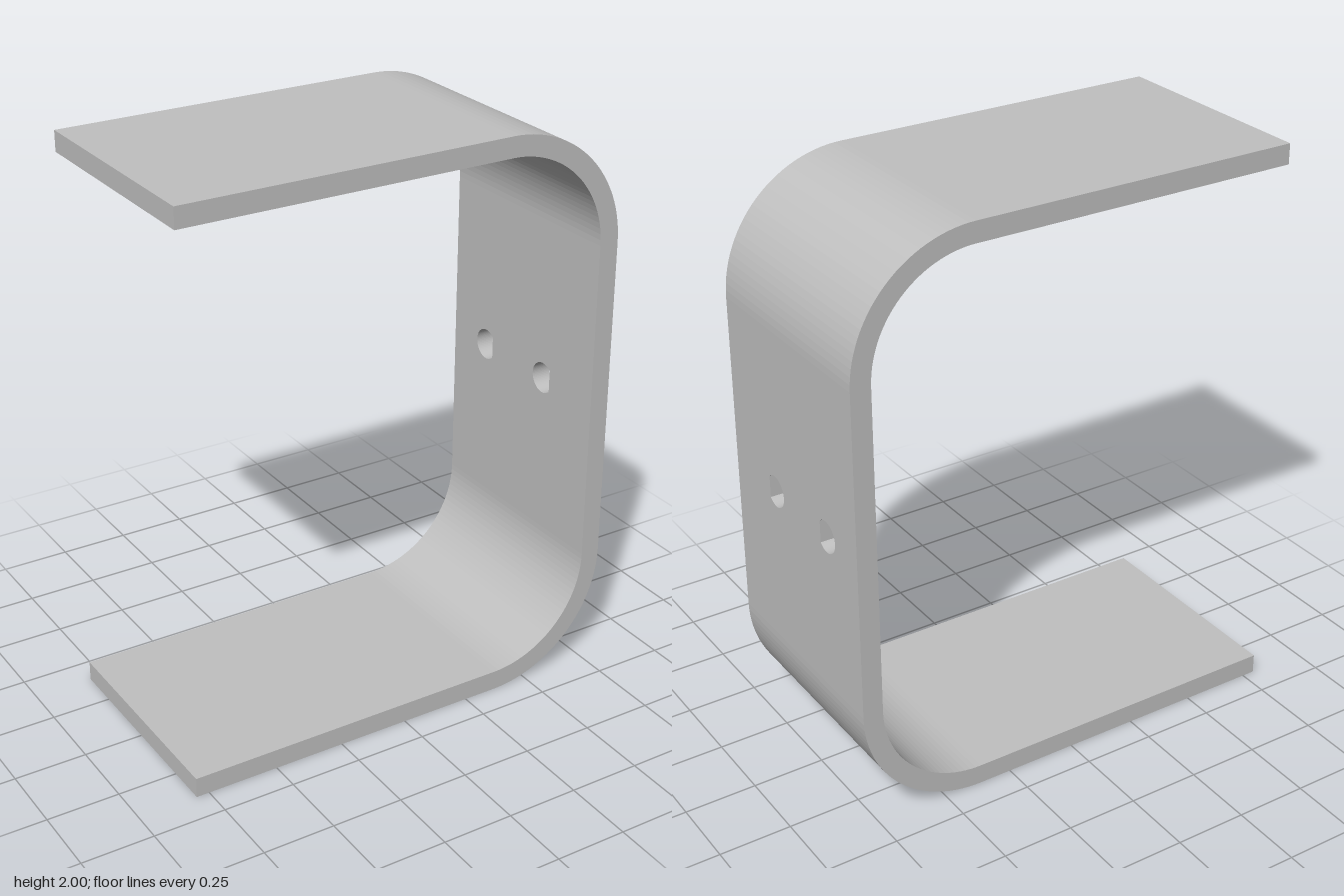
import * as THREE from 'three';

const H = 0.795;      // half length in x
const D = 0.79;       // depth in z
const T = 0.07;       // sheet thickness
const R = 0.43;       // outer bend radius
const TOP = 2;
const C = H - R;      // x of the bend centres

// Removes the hidden walls where the web meets the bends.
function openAt(geometry, levels) {
  const src = geometry.index ? geometry.toNonIndexed() : geometry;
  const p = src.attributes.position;
  const kept = [];
  for (let i = 0; i < p.count; i += 3) {
    const hidden = levels.some((y) => [0, 1, 2].every((k) => Math.abs(p.getY(i + k) - y) < 1e-4));
    if (hidden) continue;
    for (let k = 0; k < 3; k++) kept.push(p.getX(i + k), p.getY(i + k), p.getZ(i + k));
  }
  const out = new THREE.BufferGeometry();
  out.setAttribute('position', new THREE.Float32BufferAttribute(kept, 3));
  out.computeVertexNormals();
  return out;
}

// Straight arm that ends in a quarter bend.
function armGeometry() {
  const s = new THREE.Shape();
  s.moveTo(-H, 0);
  s.lineTo(C, 0);
  s.absarc(C, R, R, -Math.PI / 2, 0, false);
  s.lineTo(H - T, R);
  s.absarc(C, R, R - T, 0, -Math.PI / 2, true);
  s.lineTo(-H, T);
  s.closePath();
  const g = new THREE.ExtrudeGeometry(s, { depth: D, bevelEnabled: false, curveSegments: 14 });
  g.translate(0, 0, -D / 2);
  return openAt(g, [R]);
}

// Teardrop hole whose point faces +z (the shape's -x).
function teardrop(z, y, r) {
  const h = new THREE.Path();
  h.moveTo(-z - r * Math.SQRT2, y);
  h.absarc(-z, y, r, -Math.PI * 0.75, Math.PI * 0.75, false);
  h.closePath();
  return h;
}

// Upright web with two screw holes.
function webGeometry() {
  const s = new THREE.Shape();
  s.moveTo(-D / 2, R);
  s.lineTo(D / 2, R);
  s.lineTo(D / 2, TOP - R);
  s.lineTo(-D / 2, TOP - R);
  s.closePath();
  for (const z of [0.127, -0.205]) s.holes.push(teardrop(z, 0.997, 0.055));
  const g = new THREE.ExtrudeGeometry(s, { depth: T, bevelEnabled: false, curveSegments: 24 });
  g.rotateY(Math.PI / 2);
  g.translate(H - T, 0, 0);
  return openAt(g, [R, TOP - R]);
}

export function createModel() {
  const grey = new THREE.MeshStandardMaterial({ color: 0xc0c0c0 });
  grey.name = 'light grey';
  const group = new THREE.Group();
  group.name = 'bracket';

  const add = (name, geometry) => {
    const mesh = new THREE.Mesh(geometry, grey);
    mesh.name = name;
    group.add(mesh);
  };

  add('lowerArm', armGeometry());
  add('upperArm', armGeometry().rotateX(Math.PI).translate(0, TOP, 0));
  add('web', webGeometry());
  return group;
}
